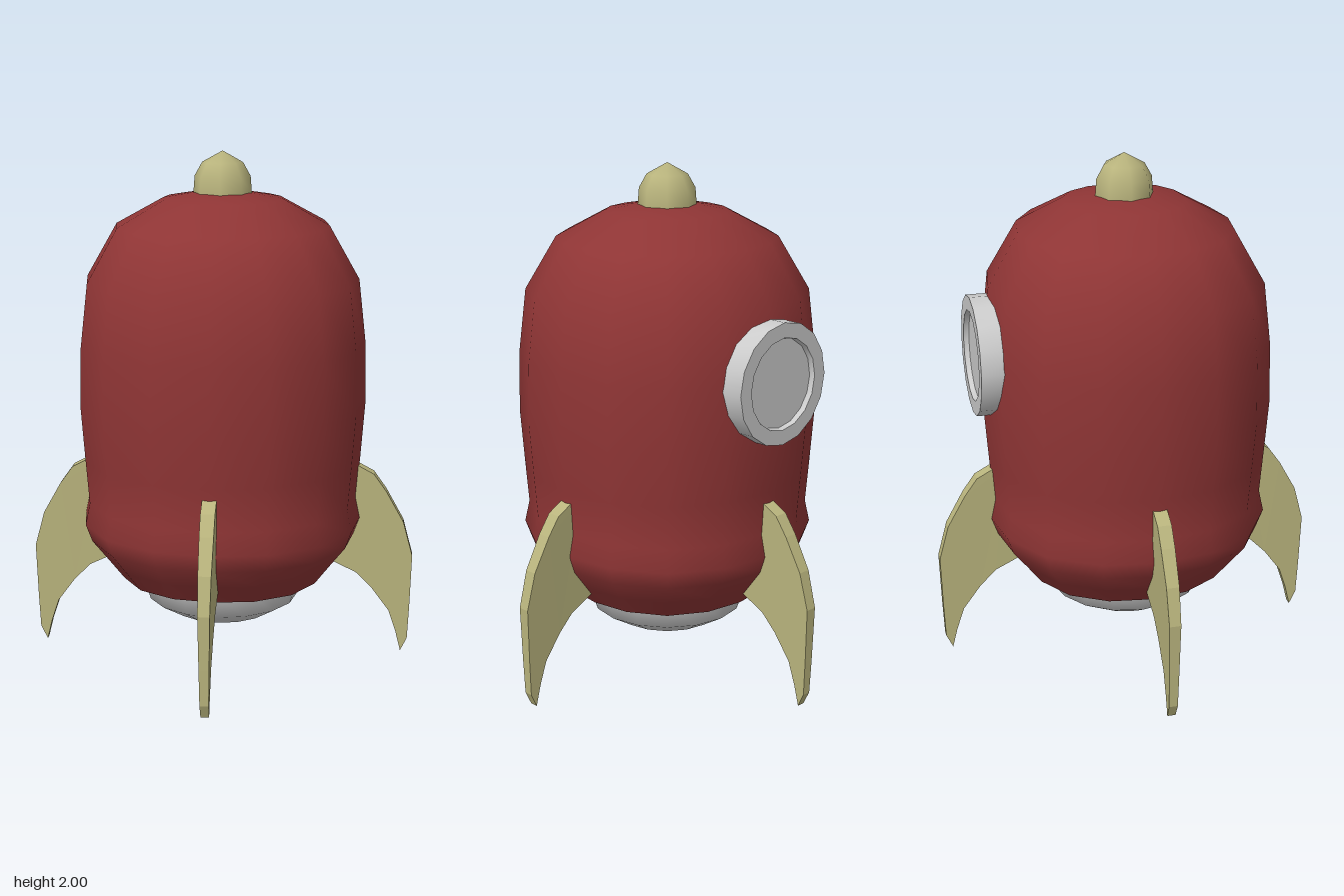
import * as THREE from 'three';
import { toCreasedNormals } from 'three/addons/utils/BufferGeometryUtils.js';

const red = new THREE.MeshStandardMaterial({ color: 0x8f3535 });
const olive = new THREE.MeshStandardMaterial({ color: 0xb9b47d });
const grey = new THREE.MeshStandardMaterial({ color: 0xcccccc });

const toPoints = (list) => list.map(([x, y]) => new THREE.Vector2(x, y));

function lathe(profile, sides) {
  return new THREE.LatheGeometry(toPoints(profile), sides);
}

function addMesh(parent, name, geometry, material) {
  const mesh = new THREE.Mesh(geometry, material);
  mesh.name = name;
  parent.add(mesh);
  return mesh;
}

// Domed hull with a flared skirt, very slightly squared in plan
function hullGeometry() {
  const geometry = lathe([
    [0, 0.33], [0.4, 0.33], [0.46, 0.41], [0.525, 0.495], [0.55, 0.565], [0.532, 0.65],
    [0.545, 0.82], [0.56, 1.03], [0.555, 1.27], [0.527, 1.515], [0.41, 1.72],
    [0.23, 1.82], [0.1, 1.843], [0, 1.845],
  ], 16);
  const p = geometry.attributes.position;
  for (let i = 0; i < p.count; i++) {
    const angle = Math.atan2(p.getX(i), p.getZ(i));
    const k = 1 + 0.035 * Math.sin(2 * angle) ** 2;
    p.setXYZ(i, p.getX(i) * k, p.getY(i), p.getZ(i) * k);
  }
  return toCreasedNormals(geometry, 0.9);
}

// Curved fin plate, thinner towards its foot
function finGeometry() {
  const shape = new THREE.Shape(toPoints([
    [0.49, 0.78], [0.42, 0.39], [0.535, 0.335], [0.6, 0.27], [0.67, 0.175], [0.7, 0.085],
    [0.72, 0.005], [0.746, 0.06], [0.752, 0.2], [0.758, 0.41], [0.72, 0.55],
    [0.65, 0.675], [0.6, 0.745], [0.535, 0.78],
  ]));
  const geometry = new THREE.ExtrudeGeometry(shape, { depth: 1, bevelEnabled: false });
  geometry.translate(0, 0, -0.5);
  const p = geometry.attributes.position;
  for (let i = 0; i < p.count; i++) {
    p.setZ(i, p.getZ(i) * (0.032 + 0.022 * Math.min(1, p.getY(i) / 0.7)));
  }
  geometry.computeVertexNormals();
  return geometry;
}

export function createModel() {
  const rocket = new THREE.Group();
  rocket.name = 'rocket';

  addMesh(rocket, 'hull', hullGeometry(), red);

  // Nose cap
  const nose = lathe([[0.112, 1.78], [0.112, 1.84], [0.107, 1.905], [0.078, 1.957], [0, 2]], 8);
  addMesh(rocket, 'noseCap', toCreasedNormals(nose, 1), olive);

  // Hollow engine ring under the hull
  const nozzle = lathe([
    [0.21, 0.345], [0.19, 0.23], [0.2, 0.17], [0.3, 0.23], [0.335, 0.335], [0.335, 0.36],
  ], 16);
  addMesh(rocket, 'engineNozzle', toCreasedNormals(nozzle, 0.8), grey);

  // Four fins around the hull
  const fin = finGeometry();
  for (let i = 0; i < 4; i++) {
    addMesh(rocket, 'fin' + (i + 1), fin, olive).rotation.y = i * Math.PI / 2;
  }

  // Round porthole on the back, with a recessed pane
  const porthole = new THREE.Group();
  porthole.name = 'porthole';
  porthole.position.y = 1.25;
  porthole.rotation.x = -Math.PI / 2;
  rocket.add(porthole);
  const frame = lathe([[0.232, 0.44], [0.232, 0.6], [0.175, 0.6], [0.17, 0.58]], 16);
  addMesh(porthole, 'portholeFrame', toCreasedNormals(frame, 0.6), grey);
  const pane = new THREE.CircleGeometry(0.172, 16).rotateX(-Math.PI / 2);
  addMesh(porthole, 'portholePane', pane, grey).position.y = 0.58;

  return rocket;
}
